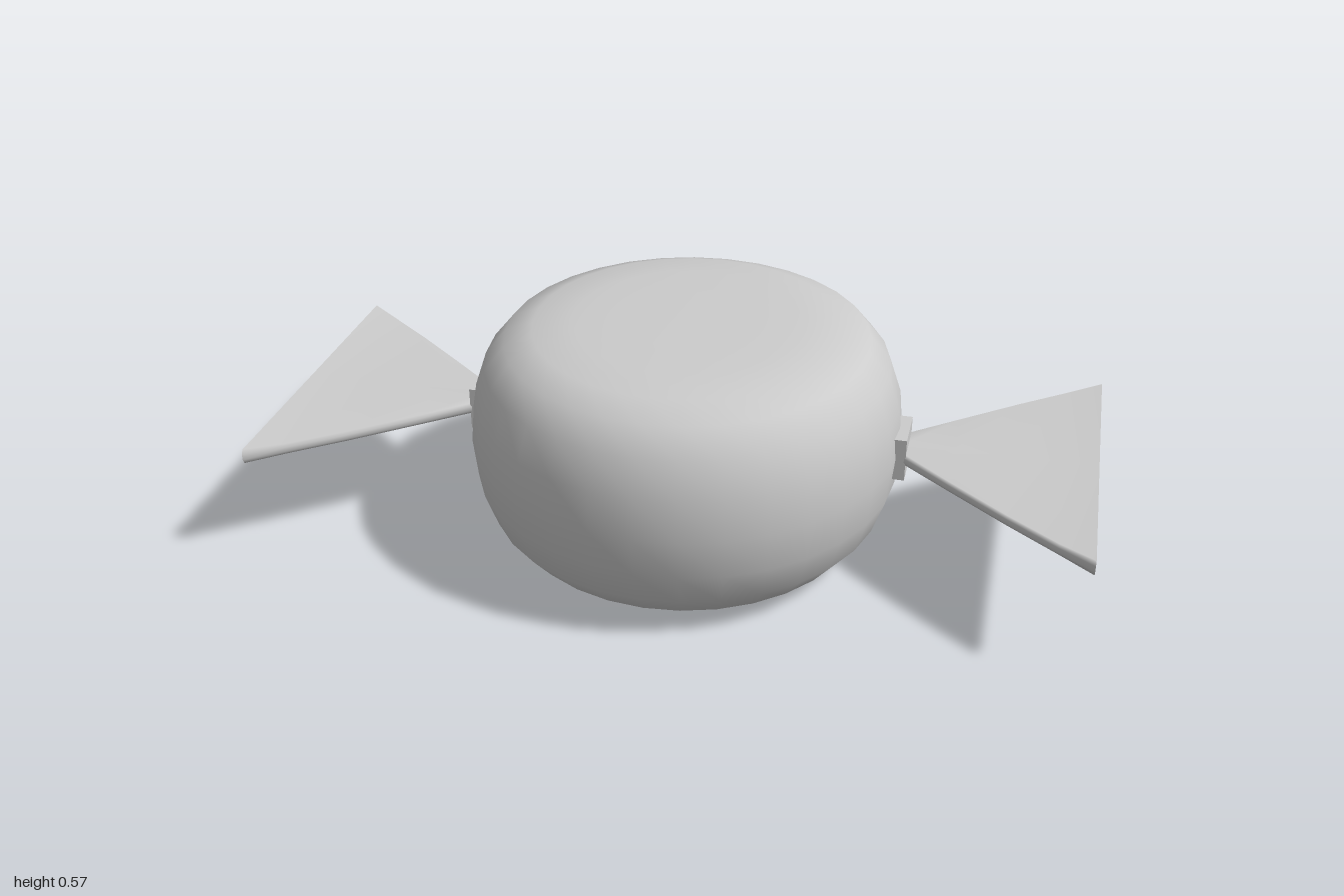
import * as THREE from 'three';

const MID = 0.288; // height of the horizontal symmetry plane

export function createModel() {
  const group = new THREE.Group();
  const material = new THREE.MeshStandardMaterial({ color: 0xcccccc });

  // Rounded drum-shaped body, mirrored about its middle height
  const upper = [[0.54, 0], [0.53, 0.1], [0.5, 0.187], [0.45, 0.247], [0.38, 0.275], [0.28, 0.285], [0.15, 0.287], [0, 0.287]];
  const profile = [
    ...upper.slice(1).reverse().map(([r, y]) => new THREE.Vector2(r, -y)),
    ...upper.map(([r, y]) => new THREE.Vector2(r, y)),
  ];
  const body = new THREE.Mesh(new THREE.LatheGeometry(profile, 32), material);
  body.name = 'body';
  body.scale.x = 0.985;
  body.position.y = MID;
  group.add(body);

  // Twisted wrapper ends: a square knot and a thin flaring fan
  for (const side of [1, -1]) {
    const end = new THREE.Group();
    end.name = side > 0 ? 'leftWrapperEnd' : 'rightWrapperEnd';

    const knot = new THREE.Mesh(new THREE.BoxGeometry(0.07, 0.11, 0.12), material);
    knot.name = 'knot';
    knot.position.x = 0.515;

    const fan = new THREE.Mesh(fanGeometry(), material);
    fan.name = 'fan';

    end.add(knot, fan);
    end.position.y = MID;
    end.rotation.y = side > 0 ? 0 : Math.PI;
    group.add(end);
  }
  return group;
}

// Loft of thin eight-point sections along x, closed at the wide end
function fanGeometry() {
  // x, half width, half thickness
  const stations = [[0.54, 0.055, 0.014], [0.66, 0.155, 0.013], [0.8, 0.268, 0.013], [0.92, 0.358, 0.014], [1, 0.413, 0.019]];
  const section = ([x, w, t]) => [
    [x, t, 0], [x, t, w - 0.006], [x, t * 0.4, w], [x, -t * 0.4, w],
    [x, -t, w - 0.006], [x, -t, 0], [x, -t, 0.006 - w], [x, -t * 0.4, -w],
    [x, t * 0.4, -w], [x, t, 0.006 - w],
  ];
  const rings = stations.map(section);
  const n = rings[0].length;
  const points = rings.flat();
  const index = [];
  for (let s = 0; s < rings.length - 1; s++) {
    for (let i = 0; i < n; i++) {
      const a = s * n + i, b = s * n + (i + 1) % n;
      index.push(a, b, a + n, b, b + n, a + n);
    }
  }
  // End cap with its own corners so the rim stays sharp
  const cap = points.length;
  points.push(...rings[rings.length - 1]);
  for (let i = 1; i < n - 1; i++) index.push(cap, cap + i + 1, cap + i);

  const geometry = new THREE.BufferGeometry();
  geometry.setAttribute('position', new THREE.Float32BufferAttribute(points.flat(), 3));
  geometry.setIndex(index);
  geometry.computeVertexNormals();
  return geometry;
}
